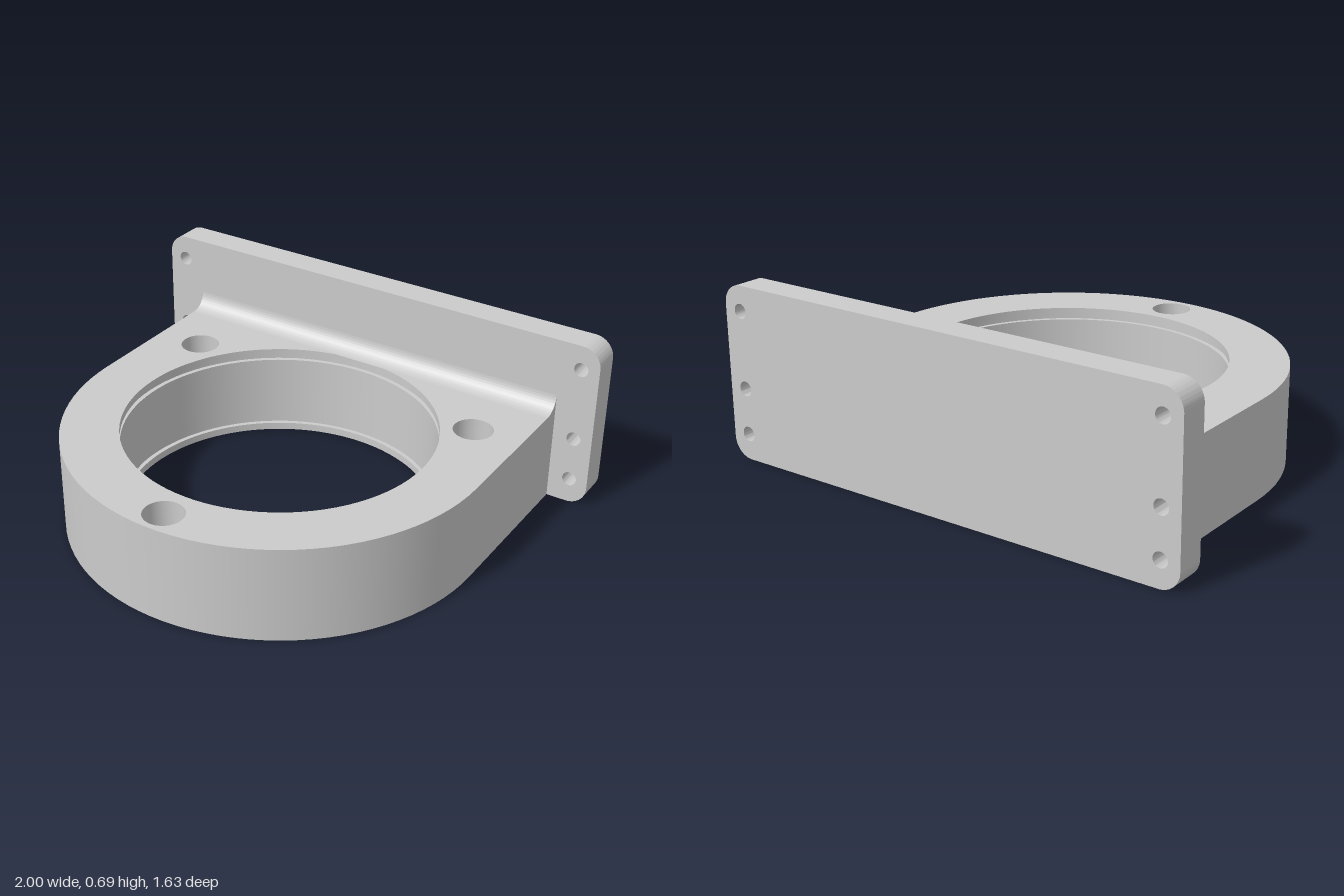
import * as THREE from 'three';
import { toCreasedNormals } from 'three/addons/utils/BufferGeometryUtils.js';

const R = 0.838, BORE = 0.611, CZ = -0.025; // ring radii and centre
const TOP = 0.385, PLATE_FRONT = -0.695, PLATE_BACK = -0.815, FILLET = 0.07;
const SEG = 96;
const SCREWS = [[-0.638, -0.393], [0.638, -0.393], [0, 0.712]];

const material = new THREE.MeshStandardMaterial({ color: 0xcccccc });

function add(parent, name, geometry) {
  const mesh = new THREE.Mesh(geometry, material);
  mesh.name = name;
  parent.add(mesh);
  return mesh;
}

function circle(x, y, r) {
  return new THREE.Path().absarc(x, y, r, 0, Math.PI * 2, true);
}

// Inward-facing stepped hole; profile runs from top to bottom, one lathe per step for crisp edges
function steppedHole(name, profile, x, z, segments) {
  const group = new THREE.Group();
  group.name = name;
  for (let i = 1; i < profile.length; i++) {
    const pair = [profile[i - 1], profile[i]].map(([r, y]) => new THREE.Vector2(r, y));
    add(group, name + 'Step', new THREE.LatheGeometry(pair, segments));
  }
  group.position.set(x, 0, z);
  return group;
}

// U-shaped face with the bore and screw holes; s flips z for the top or bottom side
function faceGeometry(s, screwRadius) {
  const points = [[-R, s * PLATE_FRONT], [R, s * PLATE_FRONT]];
  for (let i = 0; i <= SEG / 2; i++) {
    const a = (i / (SEG / 2)) * Math.PI;
    points.push([R * Math.cos(a), s * (CZ + R * Math.sin(a))]);
  }
  const shape = new THREE.Shape(points.map(([x, y]) => new THREE.Vector2(x, y)));
  shape.holes.push(circle(0, s * CZ, BORE));
  for (const [x, z] of SCREWS) shape.holes.push(circle(x, s * z, screwRadius));
  return new THREE.ShapeGeometry(shape, SEG / 2).rotateX((s * Math.PI) / 2);
}

function createRing() {
  const ring = new THREE.Group();
  ring.name = 'ringBody';
  add(ring, 'topFace', faceGeometry(-1, 0.078)).position.y = TOP;
  add(ring, 'bottomFace', faceGeometry(1, 0.028));

  // Outer wall: round front and two straight flanks
  const front = new THREE.CylinderGeometry(R, R, TOP, SEG / 2, 1, true, -Math.PI / 2, Math.PI);
  add(ring, 'roundWall', front).position.set(0, TOP / 2, CZ);
  for (const s of [-1, 1]) {
    const flank = new THREE.PlaneGeometry(CZ - PLATE_FRONT, TOP).rotateY((s * Math.PI) / 2);
    add(ring, 'sideWall', flank).position.set(s * R, TOP / 2, (CZ + PLATE_FRONT) / 2);
  }

  // Main bore with a shallow groove near each end
  const g = BORE + 0.018;
  ring.add(steppedHole('bore', [
    [BORE, TOP], [BORE, 0.355], [g, 0.355], [g, 0.335], [BORE, 0.335],
    [BORE, 0.05], [g, 0.05], [g, 0.03], [BORE, 0.03], [BORE, 0],
  ], 0, CZ, SEG));

  // Counterbored screw holes
  for (const [x, z] of SCREWS) {
    ring.add(steppedHole('screwHole', [
      [0.078, TOP], [0.078, 0.19], [0.037, 0.19], [0.037, 0.1], [0.028, 0.1], [0.028, 0],
    ], x, z, SEG));
  }
  return ring;
}

// Upright mounting plate with rounded corners and three holes at each end
function plateGeometry() {
  const h = 0.69, c = 0.08;
  const shape = new THREE.Shape();
  shape.absarc(1 - c, c, c, -Math.PI / 2, 0);
  shape.absarc(1 - c, h - c, c, 0, Math.PI / 2);
  shape.absarc(-1 + c, h - c, c, Math.PI / 2, Math.PI);
  shape.absarc(-1 + c, c, c, Math.PI, Math.PI * 1.5);
  shape.closePath();
  for (const x of [-0.925, 0.925]) {
    for (const y of [0.59, 0.285, 0.103]) shape.holes.push(circle(x, y, 0.029));
  }
  const geometry = new THREE.ExtrudeGeometry(shape, {
    depth: PLATE_FRONT - PLATE_BACK, bevelEnabled: false, curveSegments: 16,
  });
  return toCreasedNormals(geometry.translate(0, 0, PLATE_BACK), 0.6);
}

// Concave fillet between the ring's top and the plate
function filletGeometry() {
  const z = PLATE_FRONT, f = FILLET;
  const shape = new THREE.Shape();
  shape.moveTo(z, TOP);
  shape.lineTo(z + f, TOP);
  shape.absarc(z + f, TOP + f, f, -Math.PI / 2, -Math.PI, true);
  shape.closePath();
  const geometry = new THREE.ExtrudeGeometry(shape, {
    depth: 2 * R, bevelEnabled: false, curveSegments: 16,
  });
  return toCreasedNormals(geometry.rotateY(-Math.PI / 2).translate(R, 0, 0), 0.6);
}

export function createModel() {
  const model = new THREE.Group();
  model.name = 'flangedRingMount';
  model.add(createRing());
  add(model, 'mountingPlate', plateGeometry());
  add(model, 'fillet', filletGeometry());
  return model;
}
